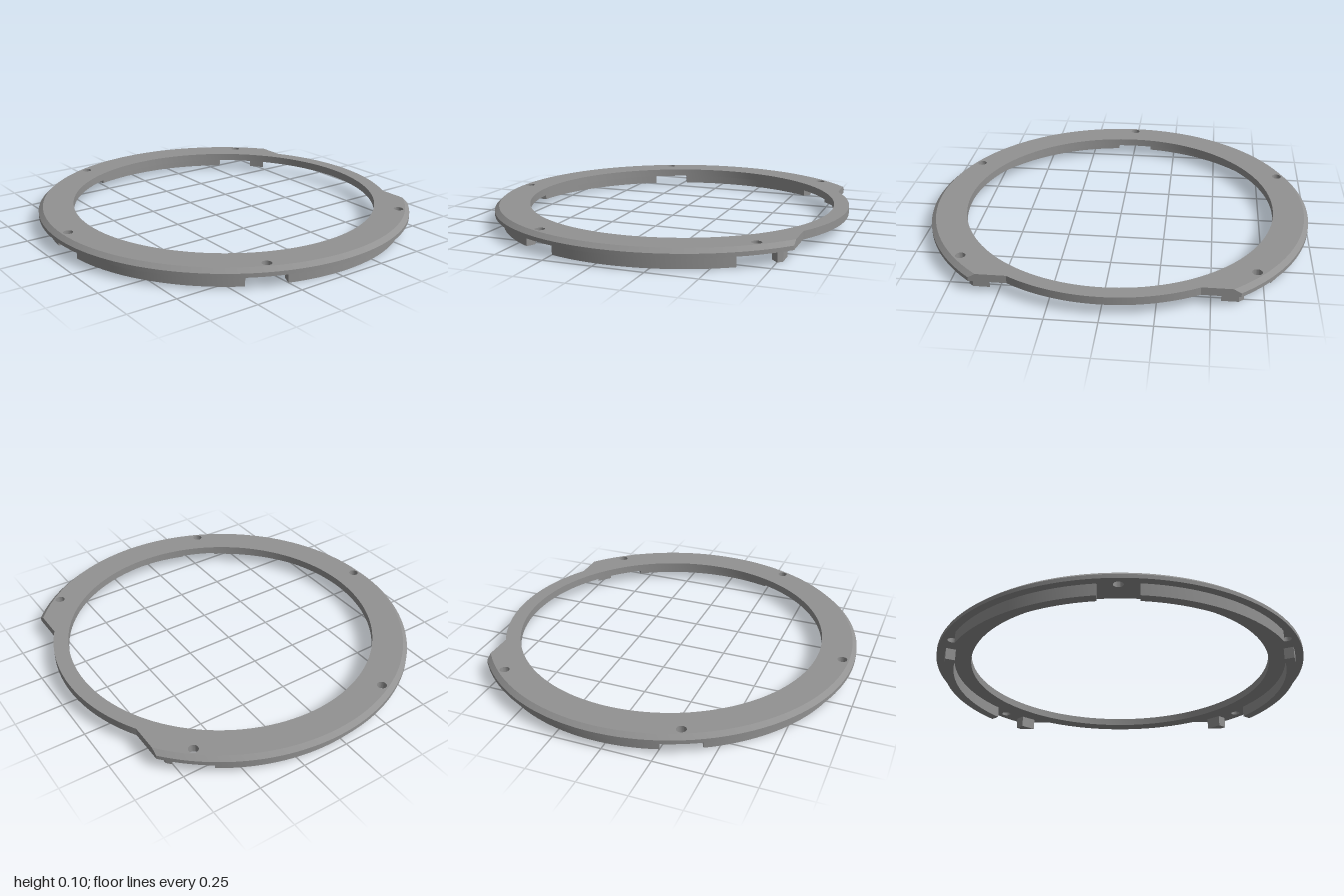
import * as THREE from 'three';
import { toCreasedNormals } from 'three/addons/utils/BufferGeometryUtils.js';

const CENTER_Z = -0.0535;             // ring axis, shifted by the shallower back
const R_OUT = 1, R_TOP = 0.977, R_IN = 0.816, R_BACK = 0.8935;
const FLAT = 0.77;                    // distance of the back flats from the axis
const LIP_OUT = 0.957, LIP_IN = 0.905, LIP_CUT = 0.72;
const LIP_H = 0.062, PLATE_H = 0.041;
const HOLE_R = 0.943, HOLE_STEP = THREE.MathUtils.degToRad(65.45), HALF_GAP = 0.1;

const material = new THREE.MeshStandardMaterial({ color: 0x929292 });
// angle in the shape plane of the i-th screw hole, counted from the front
const holeAngle = (i) => i * HOLE_STEP - Math.PI / 2;

function addMesh(group, name, geometry, y) {
  geometry.rotateX(-Math.PI / 2);
  geometry.translate(0, y, CENTER_Z);
  const mesh = new THREE.Mesh(toCreasedNormals(geometry, 0.4), material);
  mesh.name = name;
  group.add(mesh);
}

// ring with stepped back and screw holes, for a given rim radius
function extrudeRing(radius) {
  const a = Math.asin(FLAT / radius), b = Math.asin(FLAT / R_BACK);
  const shape = new THREE.Shape();
  shape.absarc(0, 0, radius, Math.PI - a, 2 * Math.PI + a, false);
  shape.absarc(0, 0, R_BACK, b, Math.PI - b, false);
  shape.closePath();

  shape.holes.push(new THREE.Path().absarc(0, 0, R_IN, 0, Math.PI * 2, true));
  for (let i = -2; i <= 2; i++) {
    const x = HOLE_R * Math.cos(holeAngle(i)), y = HOLE_R * Math.sin(holeAngle(i));
    const circle = new THREE.Path().absarc(x, y, 0.025, 0, Math.PI * 2, true);
    shape.holes.push(new THREE.Path(circle.getPoints(12)));
  }
  return new THREE.ExtrudeGeometry(shape, {
    depth: PLATE_H, steps: 2, bevelEnabled: false, curveSegments: 64,
  });
}

// bevelled plate: wide ring below, narrower ring for the topmost layer
function plateGeometry() {
  const wide = extrudeRing(R_OUT), narrow = extrudeRing(R_TOP);
  const w = wide.attributes.position.array, n = narrow.attributes.position.array;
  const wallW = wide.groups[1].start * 3, wallN = narrow.groups[1].start * 3;
  // bottom lid of one, top lid of the other
  const points = [...w.slice(0, wallW / 2), ...n.slice(wallN / 2, wallN)];
  // walls lean in from the middle layer to the top
  for (let i = 0; wallW + i < w.length; i += 3) {
    const top = w[wallW + i + 2] > PLATE_H * 0.75;
    const [source, start] = top ? [n, wallN + i] : [w, wallW + i];
    points.push(source[start], source[start + 1], source[start + 2]);
  }
  const geo = new THREE.BufferGeometry();
  geo.setAttribute('position', new THREE.Float32BufferAttribute(points, 3));
  return geo;
}

// curved lip between two end angles given per radius; side = 1 left, -1 right
function lipGeometry(side, start, end) {
  const at = (t) => (side > 0 ? t : Math.PI - t);
  const shape = new THREE.Shape();
  shape.absarc(0, 0, LIP_OUT, at(start(LIP_OUT)), at(end(LIP_OUT)), side < 0);
  shape.absarc(0, 0, LIP_IN, at(end(LIP_IN)), at(start(LIP_IN)), side > 0);
  shape.closePath();
  return new THREE.ExtrudeGeometry(shape, {
    depth: LIP_H, bevelEnabled: false, curveSegments: 16,
  });
}

export function createModel() {
  const group = new THREE.Group();
  group.name = 'mountingRing';

  addMesh(group, 'ringPlate', plateGeometry(), LIP_H);

  // lips under the plate, interrupted by a parallel-sided gap at every hole
  const afterHole = (i) => (r) => holeAngle(i) + Math.asin(HALF_GAP / r);
  const beforeHole = (i) => (r) => holeAngle(i) - Math.asin(HALF_GAP / r);
  const backCut = (r) => Math.asin(LIP_CUT / r);   // parallel to the back flat
  for (const [side, label] of [[1, 'left'], [-1, 'right']]) {
    addMesh(group, label + 'FrontLip', lipGeometry(side, afterHole(0), beforeHole(1)), 0);
    addMesh(group, label + 'SideLip', lipGeometry(side, afterHole(1), beforeHole(2)), 0);
    addMesh(group, label + 'BackStub', lipGeometry(side, afterHole(2), backCut), 0);
  }
  return group;
}
